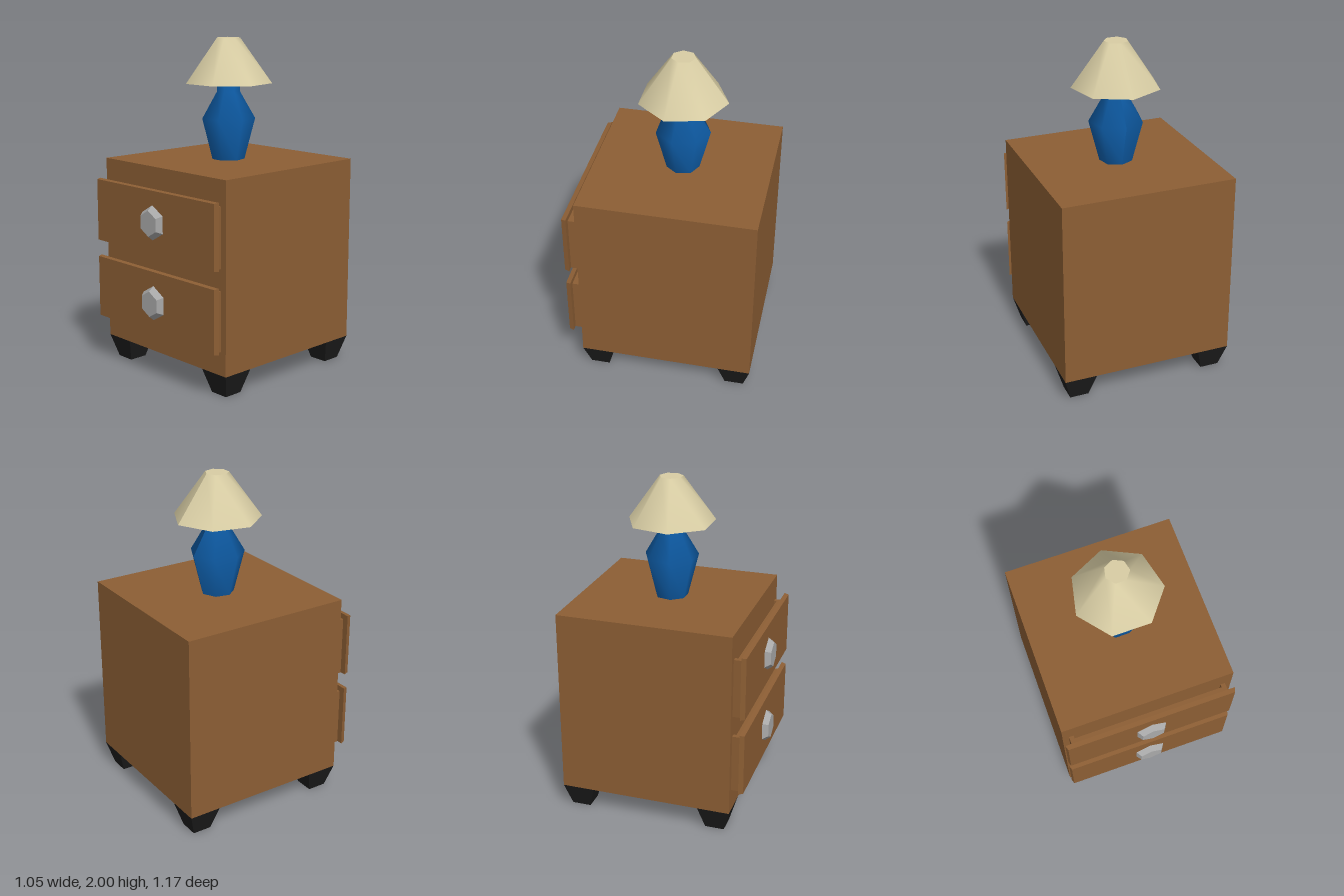
import * as THREE from 'three';

const mat = (name, color, extra = {}) => {
  const m = new THREE.MeshStandardMaterial({ color, ...extra });
  m.name = name;
  return m;
};

export function createModel() {
  const wood = mat('wood', 0x8c5e34);
  const black = mat('black feet', 0x1c1c1c);
  const steel = mat('knob grey', 0xa9a9a9, { flatShading: true });
  const blue = mat('lamp blue', 0x0e5ca6);
  const cream = mat('shade cream', 0xd8cda4, { side: THREE.DoubleSide });

  const root = new THREE.Group();
  root.name = 'bedsideTable';

  const add = (parent, name, geometry, material, x = 0, y = 0, z = 0) => {
    const m = new THREE.Mesh(geometry, material);
    m.name = name;
    m.position.set(x, y, z);
    parent.add(m);
    return m;
  };
  const box = (w, h, d) => new THREE.BoxGeometry(w, h, d);

  // Box whose end on the given side of an axis is scaled down
  const taperedBox = (w, h, d, axis, side, scale) => {
    const g = box(w, h, d);
    const p = g.attributes.position;
    const v = new THREE.Vector3();
    for (let i = 0; i < p.count; i++) {
      v.fromBufferAttribute(p, i);
      if (v[axis] * side > 0) {
        for (const k of ['x', 'y', 'z']) if (k !== axis) v[k] *= scale[k];
        p.setXYZ(i, v.x, v.y, v.z);
      }
    }
    g.computeVertexNormals();
    return g;
  };

  // Cabinet
  add(root, 'cabinet', box(1.054, 1.13, 1.055), wood, 0, 0.705, -0.0575);

  // Feet tapering downwards, flush with the cabinet corners
  for (const x of [-0.429, 0.429]) {
    for (const z of [0.372, -0.487]) {
      add(root, 'foot', taperedBox(0.196, 0.14, 0.196, 'y', -1, { x: 0.59, z: 0.59 }), black, x, 0.07, z);
    }
  }

  // Drawers, slightly pulled out, with an open tray behind a bevelled front
  for (const y of [0.477, 0.96]) {
    const drawer = new THREE.Group();
    drawer.name = 'drawer';
    drawer.position.y = y;
    root.add(drawer);
    add(drawer, 'drawerFront', taperedBox(1.054, 0.386, 0.028, 'z', 1, { x: 0.983, y: 0.98 }), wood, 0, 0, 0.537);
    add(drawer, 'trayFront', box(0.976, 0.355, 0.035), wood, 0, -0.018, 0.506);
    add(drawer, 'trayFloor', box(0.976, 0.03, 0.06), wood, 0, -0.18, 0.495);
    for (const s of [-1, 1]) add(drawer, 'traySide', box(0.028, 0.355, 0.06), wood, s * 0.474, -0.018, 0.495);
    // Six-sided knob
    const knob = new THREE.CylinderGeometry(0.077, 0.105, 0.035, 6).rotateX(Math.PI / 2);
    add(drawer, 'knob', knob, steel, 0, 0, 0.5675);
  }

  // Seven-sided lamp with its seam at the back
  const lamp = new THREE.Group();
  lamp.name = 'lamp';
  lamp.position.z = -0.056;
  root.add(lamp);
  const lathe = (pts) => {
    const g = new THREE.LatheGeometry(pts.map((p) => new THREE.Vector2(...p)), 7, Math.PI);
    g.computeVertexNormals();
    return g;
  };
  add(lamp, 'lampBase', lathe([[0.1, 1.27], [0.164, 1.52], [0.071, 1.68], [0.071, 1.95]]), blue);
  add(lamp, 'lampShade', lathe([[0.265, 1.73], [0.071, 2]]), cream);
  const cap = new THREE.CircleGeometry(0.071, 7, Math.PI / 2).rotateX(-Math.PI / 2);
  add(lamp, 'shadeCap', cap, cream, 0, 2, 0);

  return root;
}
